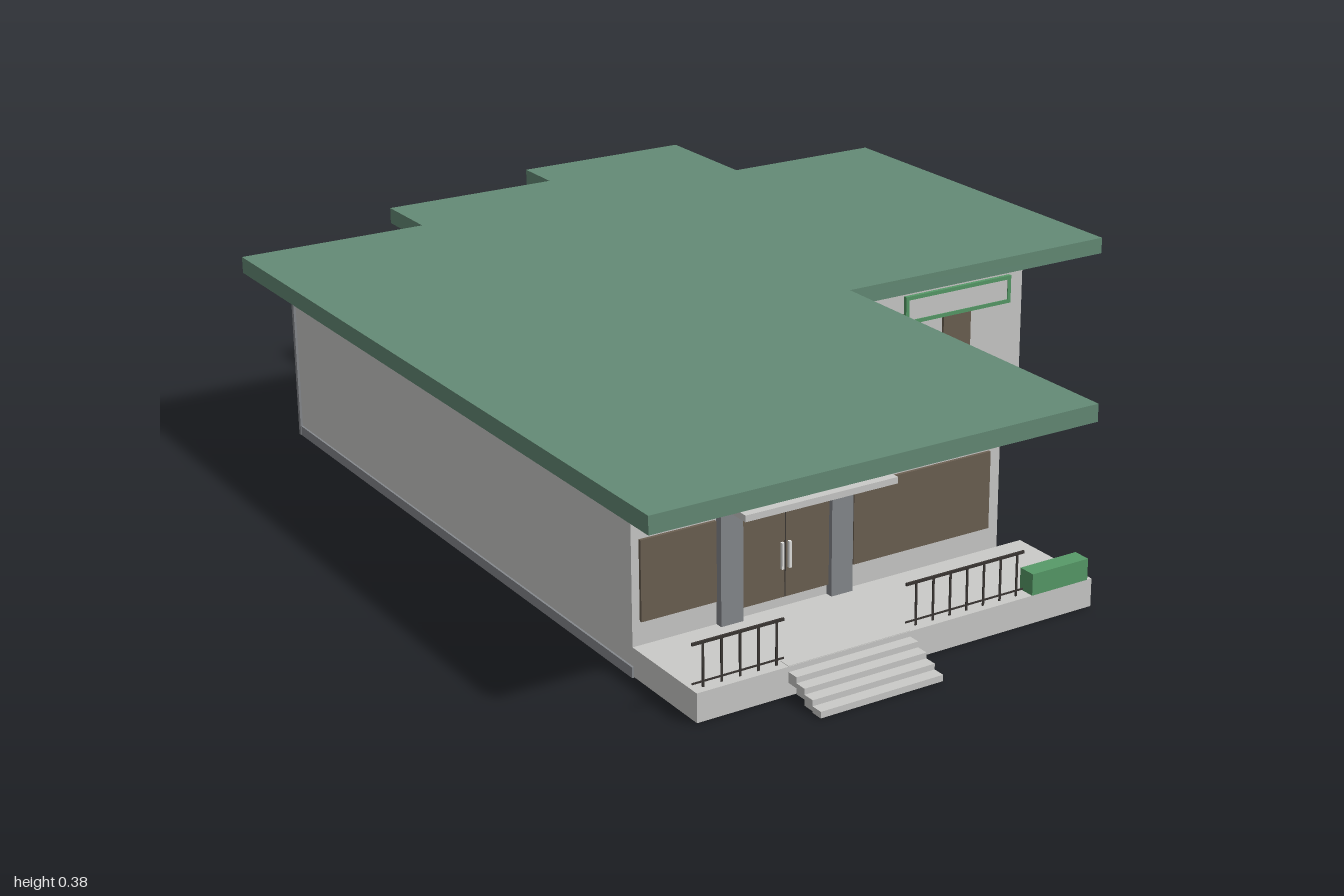
import * as THREE from 'three';

const mat = (name, color) => Object.assign(new THREE.MeshStandardMaterial({ color }), { name });

export function createModel() {
  const root = new THREE.Group();
  root.name = 'building';

  const wall = mat('paleWall', 0xcbcbc9);
  const roofGreen = mat('roofGreen', 0x648b76);
  const green = mat('brightGreen', 0x579a68);
  const stone = mat('greyStone', 0x86898d);
  const glass = mat('brownGlass', 0x6c6052);
  const metal = mat('darkMetal', 0x3a3633);
  const white = mat('white', 0xe4e4e2);

  // Box given by its extents along each axis
  const box = (name, m, x0, x1, y0, y1, z0, z1, parent = root) => {
    const mesh = new THREE.Mesh(new THREE.BoxGeometry(x1 - x0, y1 - y0, z1 - z0), m);
    mesh.position.set((x0 + x1) / 2, (y0 + y1) / 2, (z0 + z1) / 2);
    mesh.name = name;
    parent.add(mesh);
    return mesh;
  };
  const group = (name) => {
    const g = new THREE.Group();
    g.name = name;
    root.add(g);
    return g;
  };

  // Wall blocks with a slightly wider plinth below each: x0, x1, z0, z1
  const blocks = [
    ['mainBlock', -0.71, 0.065, -0.655, 0.7],
    ['sideWing', 0.06, 0.67, -0.655, 0],
    ['rearMiddle', -0.305, -0.03, -0.82, -0.65],
    ['rearBay', -0.04, 0.35, -0.93, -0.65],
  ];
  const e = 0.004;
  for (const [name, x0, x1, z0, z1] of blocks) {
    box(name, wall, x0, x1, 0.01, 0.345, z0, z1);
    box(name + 'Plinth', stone, x0 - e, x1 + e, 0, 0.02, z0 - e, z1 + e);
  }
  for (const x of [-0.71, 0.67]) {
    box('cornerStrip', stone, x - 0.005, x + 0.003, 0, 0.345, -0.659, -0.65);
  }

  // Flat roof with overhang and a pale soffit
  const outline = new THREE.Shape([
    [-0.785, -0.735], [-0.375, -0.735], [-0.375, -0.89], [0.02, -0.89], [0.02, -1], [0.42, -1],
    [0.42, -0.735], [0.78, -0.735], [0.78, 0.125], [0.135, 0.125], [0.135, 0.885], [-0.785, 0.885],
  ].map(([x, z]) => new THREE.Vector2(x, z)));
  const roof = new THREE.Mesh(
    new THREE.ExtrudeGeometry(outline, { depth: 0.034, bevelEnabled: false }), roofGreen);
  const soffit = new THREE.Mesh(new THREE.ShapeGeometry(outline), wall);
  roof.name = 'roof';
  soffit.name = 'soffit';
  for (const [m, y] of [[roof, 0.379], [soffit, 0.344]]) {
    m.rotation.x = Math.PI / 2;
    m.position.y = y;
    root.add(m);
  }

  // Porch and open-backed steps
  box('porch', wall, -0.71, 0.12, 0.001, 0.055, 0.7, 0.905);
  const steps = group('steps');
  for (let i = 0; i < 5; i++) {
    const z = 0.88 + i * 0.024, top = 0.056 - i * 0.011;
    box('step', wall, -0.53, -0.28, Math.max(0, top - 0.02), top, z, z + 0.024, steps);
  }

  // Front windows
  box('frontWindow', glass, -0.695, -0.545, 0.1, 0.25, 0.7, 0.706);
  box('frontWindow', glass, -0.26, 0.04, 0.1, 0.25, 0.7, 0.706);

  // Entrance: double door, columns, canopy and green panel
  const entrance = group('entrance');
  box('door', glass, -0.5, -0.31, 0.075, 0.29, 0.7, 0.706, entrance);
  box('doorGap', metal, -0.406, -0.404, 0.075, 0.29, 0.703, 0.7065, entrance);
  for (const x of [-0.415, -0.4]) {
    box('doorHandle', white, x, x + 0.005, 0.13, 0.18, 0.705, 0.712, entrance);
  }
  for (const x of [-0.542, -0.313]) {
    box('column', stone, x, x + 0.045, 0.055, 0.344, 0.7, 0.715, entrance);
  }
  box('canopy', wall, -0.56, -0.25, 0.292, 0.304, 0.7, 0.82, entrance);
  box('entrancePanel', green, -0.497, -0.313, 0.313, 0.338, 0.7, 0.708, entrance);

  // Porch railings
  const railings = group('railings');
  for (const [x0, x1, n] of [[-0.71, -0.53, 5], [-0.28, -0.025, 7]]) {
    box('topRail', metal, x0, x1, 0.134, 0.139, 0.888, 0.892, railings);
    box('bottomRail', metal, x0, x1, 0.064, 0.067, 0.889, 0.891, railings);
    for (let i = 0; i < n; i++) {
      const x = x0 + (x1 - x0) * (i + 0.6) / n;
      box('baluster', metal, x - 0.002, x + 0.002, 0.055, 0.136, 0.889, 0.891, railings);
    }
  }
  box('porchPlanter', green, -0.015, 0.11, 0.055, 0.096, 0.87, 0.905);

  // Wing front: three tall windows, planter and framed hanging sign
  for (const x of [0.195, 0.33, 0.46]) {
    box('wingWindow', glass, x, x + 0.071, 0.085, 0.252, 0, 0.006);
  }
  box('planterBase', wall, 0.185, 0.545, 0, 0.055, 0, 0.04);
  box('wingPlanter', green, 0.19, 0.54, 0.055, 0.09, 0, 0.038);
  const sign = group('hangingSign');
  box('signBoard', wall, 0.272, 0.53, 0.286, 0.34, 0.126, 0.131, sign);
  for (const y of [0.283, 0.334]) box('signFrame', green, 0.268, 0.534, y, y + 0.008, 0.125, 0.133, sign);
  for (const x of [0.268, 0.526]) box('signFrame', green, x, x + 0.008, 0.283, 0.342, 0.125, 0.133, sign);

  // Rear windows with small hoods
  for (const [x0, x1, y0, y1, z] of [
    [-0.25, -0.085, 0.1, 0.222, -0.82],
    [-0.44, -0.38, 0.153, 0.217, -0.655],
    [-0.608, -0.547, 0.153, 0.217, -0.655],
  ]) {
    box('rearWindow', glass, x0, x1, y0, y1, z - 0.006, z);
    box('windowHood', wall, x0 - 0.012, x1 + 0.012, y1, y1 + 0.008, z - 0.022, z);
  }

  // Air conditioners on the side wall
  const cooler = (name, x, y, z) => {
    const g = group(name);
    box('case', wall, x, x + 0.045, y, y + 0.056, z, z + 0.084, g);
    box('grille', stone, x + 0.04, x + 0.047, y + 0.009, y + 0.047, z + 0.026, z + 0.066, g);
    return g;
  };
  const upper = cooler('upperCooler', 0.68, 0.206, -0.385);
  for (const z of [-0.37, -0.318]) {
    box('bracket', metal, 0.67, 0.715, 0.197, 0.206, z, z + 0.005, upper);
  }
  box('pipe', metal, 0.67, 0.676, 0.05, 0.23, -0.364, -0.358, upper);
  const lower = cooler('lowerCooler', 0.685, 0.025, -0.185);
  box('coolerBase', wall, 0.68, 0.735, 0, 0.017, -0.19, -0.095, lower);
  for (const z of [-0.178, -0.115]) box('foot', metal, 0.69, 0.725, 0.016, 0.026, z, z + 0.008, lower);

  return root;
}
